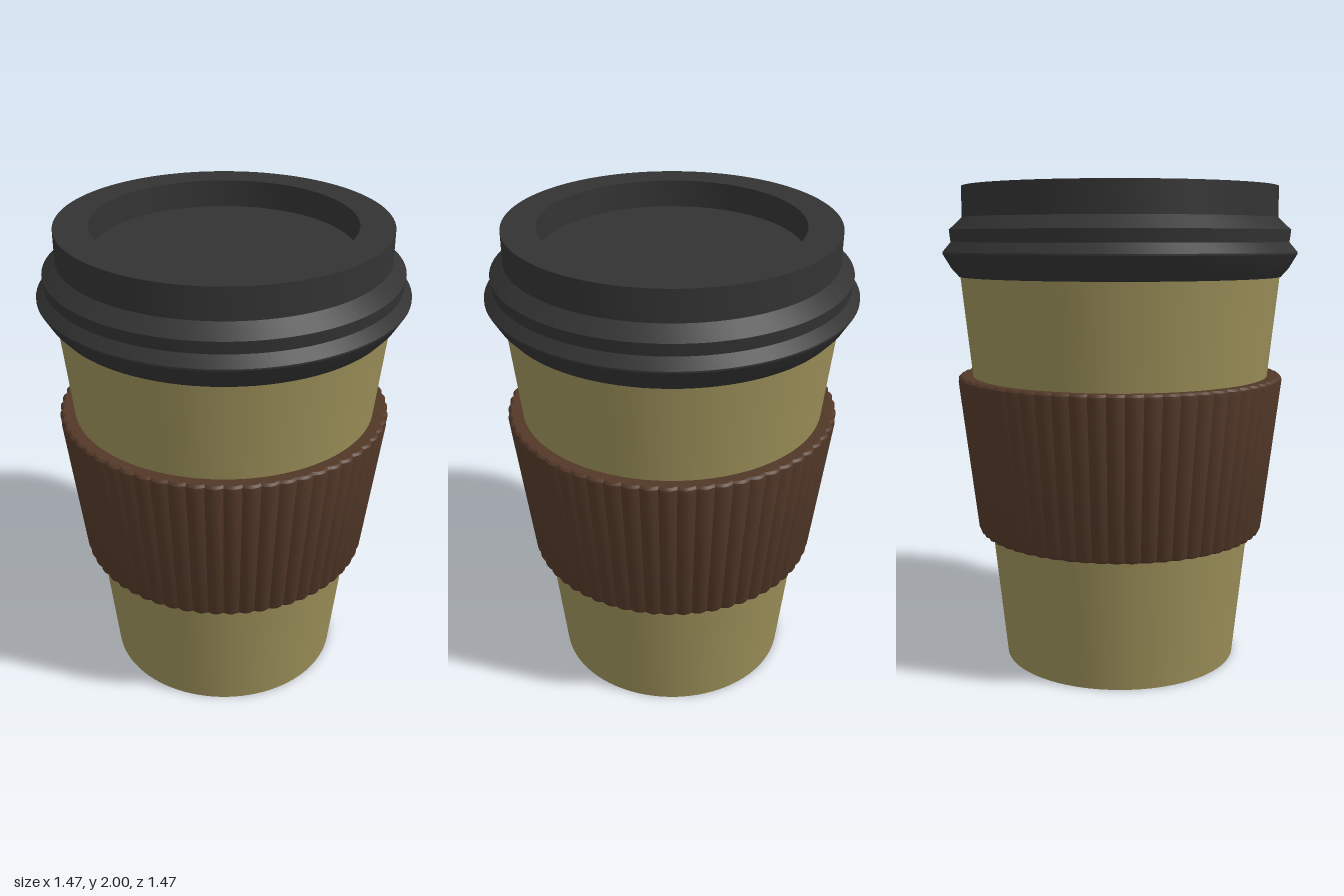
import * as THREE from 'three';
import { toCreasedNormals } from 'three/addons/utils/BufferGeometryUtils.js';

const RIDGES = 60;

// Revolve a [radius, height] profile listed from the bottom centre outward and up
function revolve(profile, segments) {
  return new THREE.LatheGeometry(profile.map(([r, y]) => new THREE.Vector2(r, y)), segments);
}

function part(name, geometry, color, crease) {
  const mesh = new THREE.Mesh(
    toCreasedNormals(geometry, crease),
    new THREE.MeshStandardMaterial({ color })
  );
  mesh.name = name;
  return mesh;
}

export function createModel() {
  const group = new THREE.Group();
  group.name = 'takeawayCup';

  // Tapered cup with a flat base, closed under the lid
  const cup = revolve([[0, 0], [0.497, 0], [0.667, 1.64], [0, 1.64]], 96);
  group.add(part('cup', cup, 0x9a8e58, 0.5));

  // Sleeve with softened rims, wrapped closely around the cup
  const sleeve = revolve([
    [0.552, 0.56], [0.595, 0.556], [0.605, 0.56], [0.612, 0.575],
    [0.685, 1.2], [0.684, 1.215], [0.675, 1.224], [0.62, 1.222], [0.552, 0.56],
  ], RIDGES * 6);
  // Press scalloped vertical ridges into its outer face
  const pos = sleeve.attributes.position;
  for (let i = 0; i < pos.count; i++) {
    const x = pos.getX(i), y = pos.getY(i), z = pos.getZ(i);
    const r = Math.hypot(x, z);
    const cupRadius = 0.497 + 0.104 * y;
    if (r < cupRadius + 0.03) continue;
    const groove = 0.011 * (1 - Math.abs(Math.sin(Math.atan2(x, z) * RIDGES / 2)));
    const k = (r - groove) / r;
    pos.setXYZ(i, x * k, y, z * k);
  }
  group.add(part('sleeve', sleeve, 0x523828, 0.6));

  // Stepped lid with a bulging grip and a recessed top
  const lid = revolve([
    [0, 1.635], [0.672, 1.635], [0.703, 1.67], [0.737, 1.728], [0.737, 1.735],
    [0.703, 1.775], [0.709, 1.825], [0.655, 1.875], [0.655, 2],
    [0.52, 2], [0.52, 1.888], [0, 1.888],
  ], 96);
  group.add(part('lid', lid, 0x333333, 0.45));

  return group;
}
